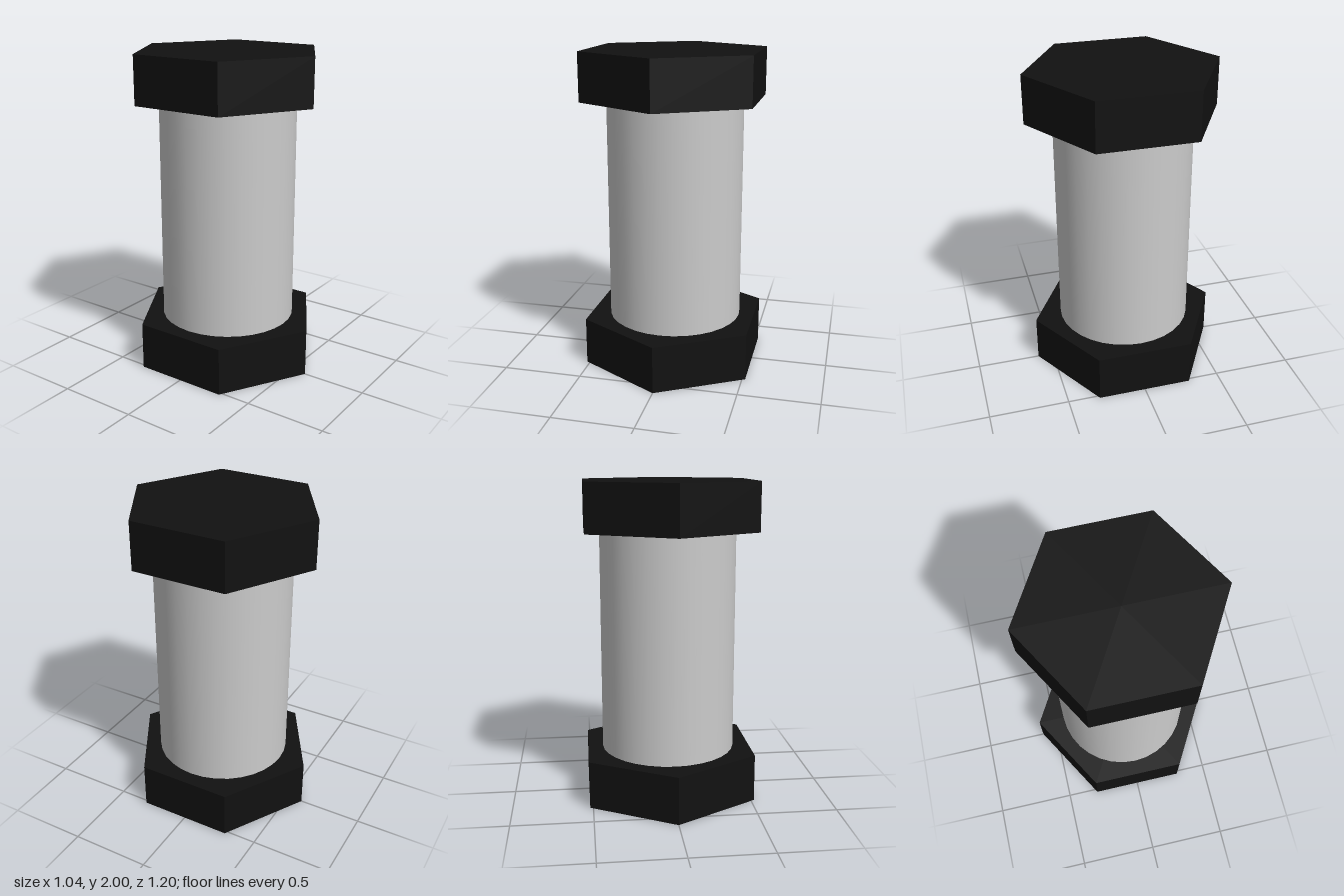
import * as THREE from 'three';

export function createModel() {
  const model = new THREE.Group();
  const grey = new THREE.MeshStandardMaterial({ color: 0xcccccc });
  const black = new THREE.MeshStandardMaterial({ color: 0x111111, flatShading: true });

  const add = (name, geometry, material, y) => {
    const mesh = new THREE.Mesh(geometry, material);
    mesh.name = name;
    mesh.position.y = y;
    model.add(mesh);
  };

  // Round barrel between the two caps
  add('barrel', new THREE.CylinderGeometry(0.425, 0.425, 1.4, 32), grey, 1);

  // Hexagonal caps, corners pointing along z
  const cap = new THREE.CylinderGeometry(0.6, 0.6, 0.3, 6);
  add('bottomCap', cap, black, 0.15);
  add('topCap', cap, black, 1.85);

  return model;
}
